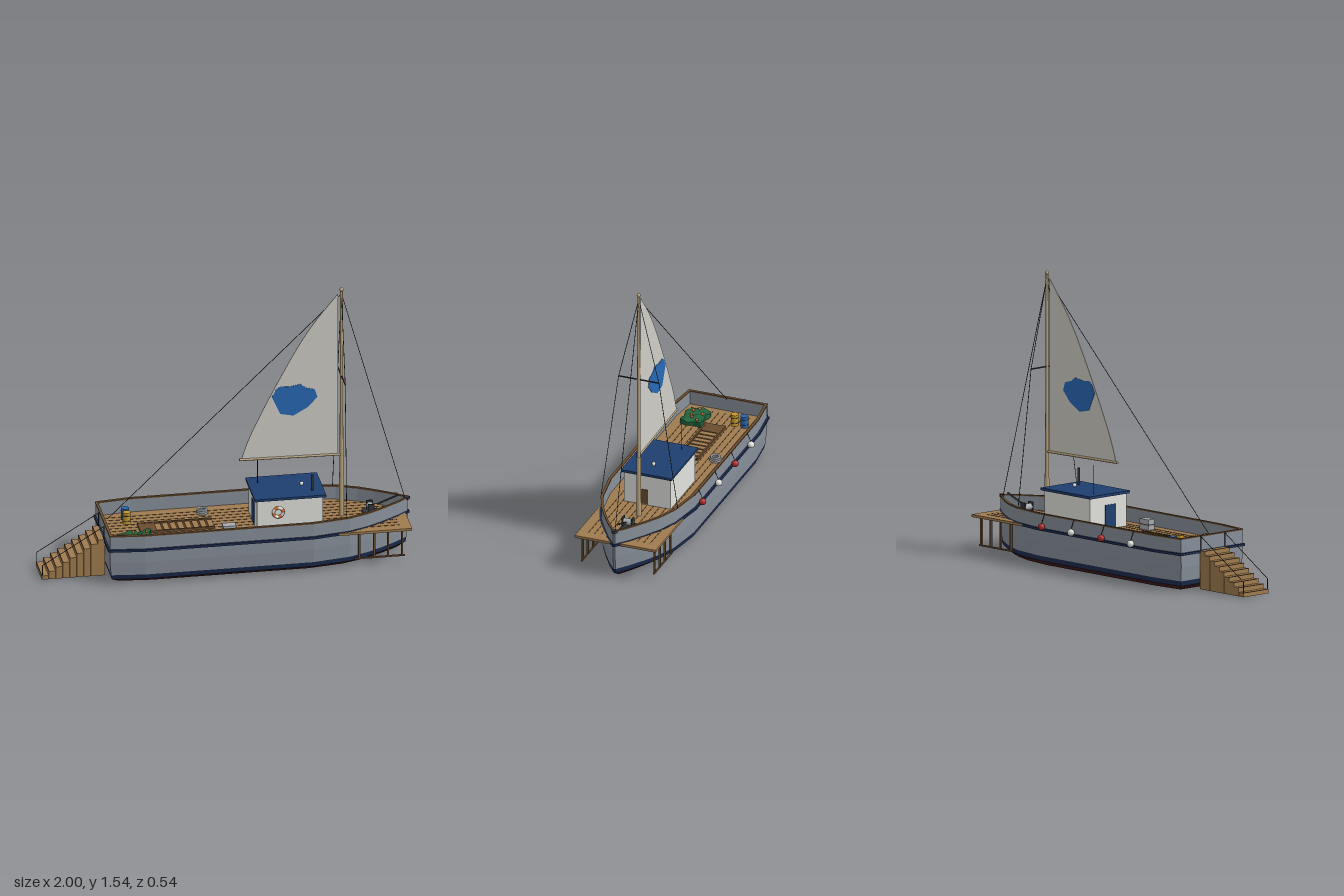
import * as THREE from 'three';

const mat = (color) => new THREE.MeshStandardMaterial({ color, side: THREE.DoubleSide });
const M = {
  hull: mat(0x88909a), navy: mat(0x1c2c50), red: mat(0x421a1c), wood: mat(0xa07c50), darkWood: mat(0x6b4d30),
  seam: mat(0x5a4228), roof: mat(0x1f3f70), white: mat(0xe2e2de), sail: mat(0xd0cec6), blue: mat(0x2868b4),
  mast: mat(0xb8a27c), rope: mat(0x2a2a2a), metal: mat(0x30343a), grey: mat(0xa8acb0), orange: mat(0xd07030),
  yellow: mat(0xc89a28), green: mat(0x22643e), fenderRed: mat(0xb02a2a),
};
const V = (x, y, z) => new THREE.Vector3(x, y, z);

export function createModel() {
  const model = new THREE.Group();
  const boat = new THREE.Group();
  boat.name = 'boat';
  boat.position.z = 0.015;
  model.add(boat);

  const add = (name, geo, material, x = 0, y = 0, z = 0) => {
    const m = new THREE.Mesh(geo, material);
    m.name = name;
    m.position.set(x, y, z);
    boat.add(m);
    return m;
  };
  const box = (name, material, w, h, d, x, y, z) => add(name, new THREE.BoxGeometry(w, h, d), material, x, y, z);
  const cyl = (name, material, r, h, x, y, z, r2 = r) =>
    add(name, new THREE.CylinderGeometry(r2, r, h, 14), material, x, y, z);
  const ball = (name, material, r, x, y, z) => add(name, new THREE.SphereGeometry(r, 14, 10), material, x, y, z);
  const rod = (name, material, a, b, r = 0.0018, sides = 6) => {
    const m = add(name, new THREE.CylinderGeometry(r, r, a.distanceTo(b), sides), material);
    m.position.copy(a).lerp(b, 0.5);
    m.quaternion.setFromUnitVectors(V(0, 1, 0), b.clone().sub(a).normalize());
    return m;
  };

  // Hull outline in plan: x and half width, stern to bow
  const plan = [[-0.655, 0.222], [-0.47, 0.244], [0.44, 0.244], [0.64, 0.21], [0.75, 0.165],
    [0.83, 0.118], [0.92, 0.058], [0.985, 0.006]];
  const outline = [...plan, ...plan.slice().reverse().map(([x, w]) => [x, -w])];
  const mid = 0.165;
  const ring = (y, sx, sz) => outline.map(([x, z]) => [mid + (x - mid) * sx, y, z * sz]);
  const offset = (y, o) => ring(y, 1 + o / 0.82, 1 + o / 0.244);
  // Skin between successive closed rings, flat faceted
  const loft = (name, material, rings) => {
    const p = [];
    for (let k = 0; k < rings.length - 1; k++) {
      const a = rings[k], b = rings[k + 1];
      a.forEach((_, i) => {
        const j = (i + 1) % a.length;
        p.push(...a[i], ...b[i], ...b[j], ...a[i], ...b[j], ...a[j]);
      });
    }
    const g = new THREE.BufferGeometry();
    g.setAttribute('position', new THREE.Float32BufferAttribute(p, 3));
    g.computeVertexNormals();
    return add(name, g, material);
  };
  const bottom = ring(0, 0.93, 0.78), chine = ring(0.028, 0.985, 0.95), water = ring(0.055, 0.992, 0.975);
  loft('hullBottom', M.red, [bottom, chine]);
  const keel = add('hullFloor', new THREE.ShapeGeometry(
    new THREE.Shape(bottom.map(([x, , z]) => new THREE.Vector2(x, z)))), M.red);
  keel.rotation.x = Math.PI / 2;
  loft('waterline', M.navy, [chine, water]);
  loft('hullSide', M.hull, [water, ring(0.13, 1, 0.995), offset(0.283, 0)]);
  loft('bulwarkInside', M.hull, [offset(0.2, -0.01), offset(0.283, -0.01)]);
  const band = (name, material, y0, y1, i, o) =>
    loft(name, material, [offset(y0, i), offset(y0, o), offset(y1, o), offset(y1, i), offset(y0, i)]);
  band('rubRail', M.navy, 0.195, 0.208, -0.002, 0.01);
  band('capRail', M.darkWood, 0.28, 0.287, -0.012, 0.003);

  // Deck platform with plank seams and posts under the forward part
  box('deck', M.wood, 1.63, 0.014, 0.462, 0.155, 0.2, 0);
  for (let i = -5; i <= 5; i++) box('plankSeam', M.seam, 1.52, 0.002, 0.004, 0.15, 0.2075, i * 0.035);
  for (const s of [-1, 1]) {
    for (const x of [0.69, 0.77, 0.845, 0.92]) box('deckPost', M.darkWood, 0.01, 0.155, 0.01, x, 0.117, s * 0.205);
    box('deckBeam', M.darkWood, 0.27, 0.008, 0.008, 0.8, 0.043, s * 0.205);
  }

  // Boarding stairs at the stern, with rope handrails
  const steps = 9, run = 0.34 / steps;
  for (let i = 0; i < steps; i++) {
    const h = 0.022 + i * 0.0232;
    box('stairStep', M.wood, run - 0.001, h, 0.18, -1 + run * (i + 0.5), h / 2, 0);
    box('stairNosing', M.seam, 0.004, 0.003, 0.181, -0.998 + run * i, h, 0);
  }
  for (const s of [-1, 1]) {
    rod('stairPost', M.rope, V(-0.996, 0, s * 0.086), V(-0.996, 0.08, s * 0.086), 0.0025);
    rod('stairTopPost', M.rope, V(-0.664, 0.2, s * 0.086), V(-0.664, 0.285, s * 0.086), 0.0025);
    rod('stairRope', M.rope, V(-0.996, 0.08, s * 0.086), V(-0.664, 0.283, s * 0.086));
  }

  // Cabin with doors, windows and roof fittings
  box('cabin', M.white, 0.355, 0.185, 0.265, 0.33, 0.295, 0);
  box('cabinRoof', M.roof, 0.385, 0.012, 0.29, 0.33, 0.393, 0);
  box('roofEdge', M.metal, 0.38, 0.004, 0.284, 0.33, 0.386, 0);
  box('aftDoor', M.roof, 0.006, 0.125, 0.075, 0.152, 0.275, 0.015);
  box('foreDoor', M.darkWood, 0.006, 0.085, 0.05, 0.508, 0.255, 0.02);
  cyl('chimney', M.metal, 0.007, 0.09, 0.46, 0.443, 0.072);
  rod('antenna', M.rope, V(0.19, 0.395, -0.07), V(0.19, 0.555, -0.07));
  ball('roofLamp', M.white, 0.011, 0.415, 0.409, 0);
  for (let i = 0; i < 8; i++) {
    const g = new THREE.TorusGeometry(0.026, 0.009, 8, 5, Math.PI / 4);
    add('lifeRing', g, i % 2 ? M.white : M.orange, 0.265, 0.315, 0.14).rotation.z = i * Math.PI / 4;
  }

  // Mast, spreader and rigging
  const mx = 0.63, top = V(mx, 1.5, 0);
  cyl('mast', M.mast, 0.011, 1.32, mx, 0.86, 0, 0.007);
  cyl('mastFoot', M.mast, 0.014, 0.35, mx, 0.38, 0, 0.011);
  ball('mastCap', M.mast, 0.011, mx, 1.525, 0);
  rod('spreader', M.metal, V(mx, 1.02, -0.115), V(mx, 1.02, 0.115), 0.004, 8);
  for (const s of [-1, 1]) {
    rod('upperShroud', M.rope, top, V(mx, 1.02, s * 0.115));
    rod('lowerShroud', M.rope, V(mx, 1.02, s * 0.115), V(mx - 0.01, 0.285, s * 0.218));
  }
  rod('forestay', M.rope, top, V(0.97, 0.285, 0));
  rod('backstay', M.rope, top, V(-0.63, 0.285, 0));

  // Sail, painted patch and boom
  const sail = new THREE.Shape();
  sail.moveTo(0.09, 0.575);
  sail.splineThru([[0.15, 0.735], [0.3, 1.035], [0.45, 1.295], [0.61, 1.5]].map((p) => new THREE.Vector2(...p)));
  sail.lineTo(0.61, 0.565);
  const slab = (shape, depth) => new THREE.ExtrudeGeometry(shape, { depth, bevelEnabled: false, curveSegments: 16 });
  add('sail', slab(sail, 0.004), M.sail, 0, 0, -0.002);
  const patch = new THREE.Shape([[0.255, 0.925], [0.275, 0.965], [0.3, 0.985], [0.345, 0.98], [0.41, 0.99],
    [0.435, 0.968], [0.485, 0.955], [0.5, 0.91], [0.45, 0.855], [0.37, 0.81], [0.3, 0.825], [0.275, 0.88]]
    .map((p) => new THREE.Vector2(...p)));
  add('sailPatch', slab(patch, 0.008), M.blue, 0, 0, -0.004);
  rod('boom', M.mast, V(0.08, 0.573, 0), V(mx, 0.563, 0), 0.007, 10);

  // Companionway ladder set into the deck
  box('hatchWell', M.seam, 0.31, 0.004, 0.1, -0.215, 0.208, -0.005);
  box('hatchCover', M.darkWood, 0.09, 0.012, 0.115, -0.415, 0.212, -0.005);
  for (const s of [-1, 1]) box('hatchCoaming', M.darkWood, 0.4, 0.014, 0.01, -0.26, 0.213, s * 0.053 - 0.005);
  for (let i = 0; i < 8; i++) box('hatchRung', M.wood, 0.03, 0.006, 0.09, -0.355 + i * 0.04, 0.211, -0.005);

  // Deck gear: rope coil, barrels, crates and net
  for (let i = 0; i < 3; i++) {
    add('ropeCoil', new THREE.TorusGeometry(0.027 - i * 0.002, 0.006, 6, 20), M.grey, -0.095, 0.212 + i * 0.01, -0.15)
      .rotation.x = Math.PI / 2;
  }
  [[M.blue, -0.15], [M.yellow, -0.095]].forEach(([m, z]) => {
    cyl('barrel', m, 0.021, 0.065, -0.51, 0.24, z);
    for (const y of [0.225, 0.255]) cyl('barrelHoop', M.metal, 0.022, 0.004, -0.51, y, z);
  });
  for (let i = 0; i < 2; i++) {
    box('crate', M.grey, 0.07, 0.026, 0.045, 0, 0.222 + i * 0.031, 0.14);
    box('crateGap', M.metal, 0.062, 0.006, 0.038, 0, 0.237 + i * 0.015, 0.14);
  }
  const net = new THREE.BoxGeometry(0.16, 0.03, 0.12, 7, 1, 5);
  const np = net.attributes.position;
  for (let i = 0; i < np.count; i++) {
    const x = np.getX(i), z = np.getZ(i);
    if (np.getY(i) > 0) np.setY(i, 0.012 + 0.01 * Math.sin(x * 70) * Math.cos(z * 60));
    np.setX(i, x + 0.008 * Math.sin(z * 80));
    np.setZ(i, z + 0.006 * Math.cos(x * 60));
  }
  net.computeVertexNormals();
  add('fishingNet', net, M.green, -0.495, 0.22, 0.122);
  for (let i = 0; i < 6; i++) {
    ball('netFloat', M.orange, 0.008, -0.555 + i * 0.024, 0.238, 0.122 + 0.035 * Math.sin(i * 2.3));
  }

  // Anchor winch and bow fittings
  box('winchBase', M.metal, 0.085, 0.012, 0.065, 0.785, 0.213, 0);
  cyl('winchDrum', M.grey, 0.018, 0.045, 0.785, 0.243, 0).rotation.x = Math.PI / 2;
  for (const s of [-1, 1]) box('winchCheek', M.metal, 0.035, 0.055, 0.008, 0.785, 0.242, s * 0.027);
  rod('anchorShank', M.metal, V(0.82, 0.255, 0), V(0.935, 0.3, 0), 0.005, 8);
  const stem = box('stemFitting', M.metal, 0.024, 0.016, 0.024, 0.981, 0.28, 0);
  stem.rotation.y = Math.PI / 4;

  // Fenders hung along the right side
  [-0.31, -0.08, 0.155, 0.385].forEach((x, i) => {
    ball('fender', i % 2 ? M.fenderRed : M.white, 0.019, x, 0.22, -0.268);
    rod('fenderRope', M.rope, V(x, 0.235, -0.268), V(x, 0.287, -0.245));
  });
  return model;
}
